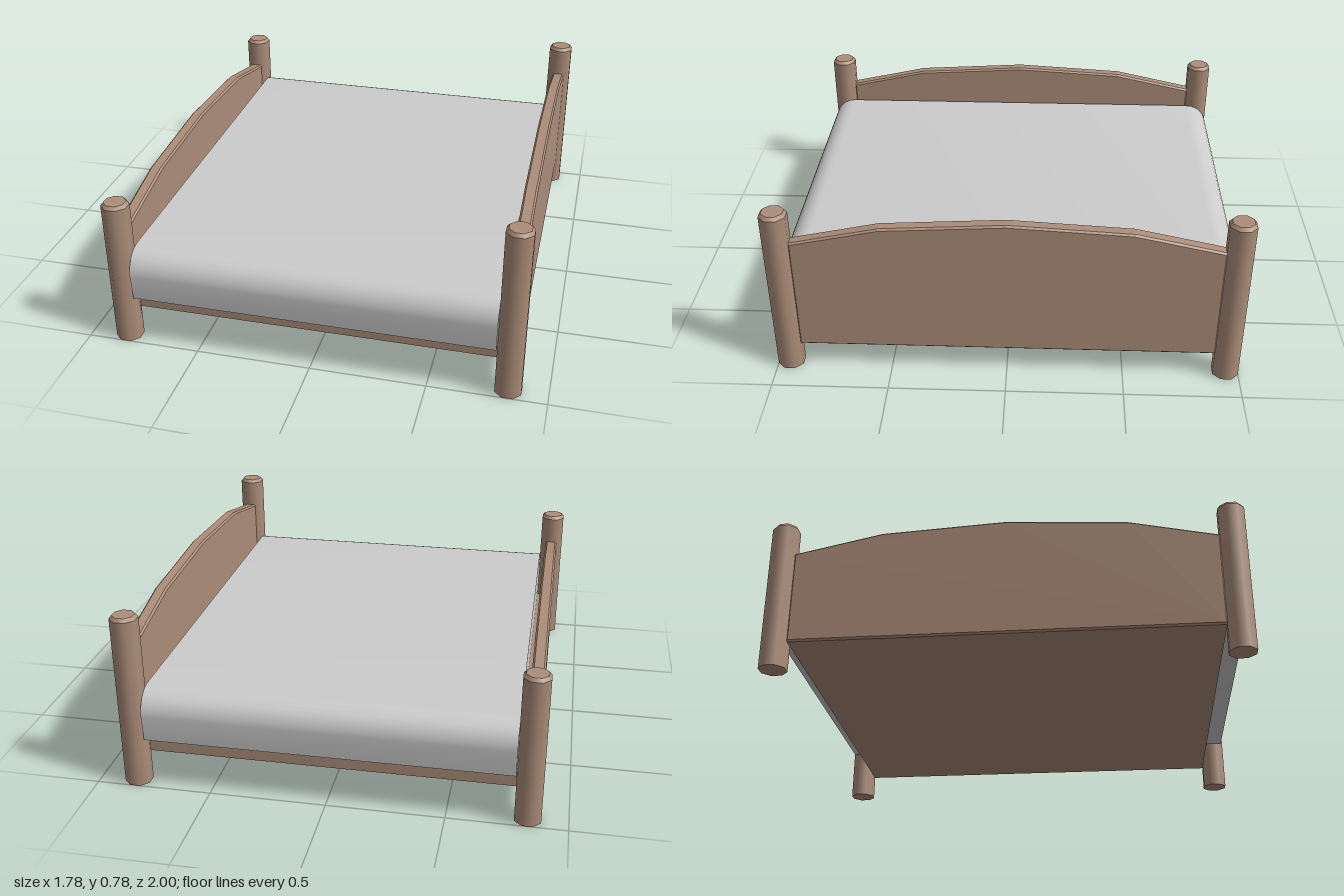
import * as THREE from 'three';
import { toCreasedNormals } from 'three/addons/utils/BufferGeometryUtils.js';

// Extrude a (z, y) outline along x, centred on x = 0
function extrudeAlongX(shape, width, bevel = 0) {
  const geometry = new THREE.ExtrudeGeometry(shape, {
    depth: width - 2 * bevel,
    curveSegments: 4,
    bevelEnabled: bevel > 0,
    bevelSegments: 1,
    bevelSize: bevel,
    bevelThickness: bevel,
    bevelOffset: -bevel,
  });
  geometry.translate(0, 0, -(width - 2 * bevel) / 2);
  geometry.rotateY(Math.PI / 2);
  return geometry;
}

// Eight-sided post, 0.11 across the flats, with a bevelled top
function postGeometry(height) {
  const r = 0.055 / Math.cos(Math.PI / 8);
  // repeated points keep the edges sharp
  const profile = [
    [0, 0], [r, 0], [r, 0], [r, height - 0.015], [r, height - 0.015],
    [r - 0.012, height], [r - 0.012, height], [0, height],
  ].map(([x, y]) => new THREE.Vector2(x, y));
  const geometry = new THREE.LatheGeometry(profile, 8);
  geometry.rotateY(Math.PI / 8);
  return geometry;
}

// Arched end board whose peak is at the given height
function boardGeometry(peak) {
  const shape = new THREE.Shape([
    [-0.895, 0.115], [0.895, 0.115], [0.895, peak - 0.111], [0.52, peak - 0.03],
    [0, peak], [-0.52, peak - 0.03], [-0.895, peak - 0.111],
  ].map(([z, y]) => new THREE.Vector2(z, y)));
  return extrudeAlongX(shape, 0.056, 0.008);
}

// Mattress with rounded upper edges at both open sides
function mattressGeometry() {
  const bottom = 0.225, top = 0.45, half = 1, r = 0.11;
  const shape = new THREE.Shape();
  shape.moveTo(-half + 0.01, bottom);
  shape.lineTo(half - 0.01, bottom);
  shape.lineTo(half, top - r);
  shape.absarc(half - r, top - r, r, 0, Math.PI / 2, false);
  shape.lineTo(-half + r, top);
  shape.absarc(-half + r, top - r, r, Math.PI / 2, Math.PI, false);
  shape.closePath();
  return toCreasedNormals(extrudeAlongX(shape, 1.556), Math.PI / 4);
}

export function createModel() {
  const wood = new THREE.MeshStandardMaterial({ color: 0xac8d79 });
  wood.name = 'wood';
  const fabric = new THREE.MeshStandardMaterial({ color: 0xcccccc });
  fabric.name = 'light grey fabric';

  const bed = new THREE.Group();
  bed.name = 'bed';
  const add = (parent, name, geometry, material, x = 0, y = 0, z = 0) => {
    const mesh = new THREE.Mesh(geometry, material);
    mesh.name = name;
    mesh.position.set(x, y, z);
    parent.add(mesh);
  };

  // Base and mattress
  add(bed, 'base', new THREE.BoxGeometry(1.64, 0.11, 1.78), wood, 0, 0.17, 0);
  add(bed, 'mattress', mattressGeometry(), fabric);

  // Tall head end on +x, lower foot end on -x
  const ends = [
    { name: 'head', side: 1, post: 0.78, peak: 0.75 },
    { name: 'foot', side: -1, post: 0.67, peak: 0.64 },
  ];
  for (const { name, side, post, peak } of ends) {
    const end = new THREE.Group();
    end.name = `${name}End`;
    add(end, `${name}Board`, boardGeometry(peak), wood, side * 0.834);
    const geometry = postGeometry(post);
    add(end, `${name}FrontPost`, geometry, wood, side * 0.834, 0, 0.945);
    add(end, `${name}BackPost`, geometry, wood, side * 0.834, 0, -0.945);
    bed.add(end);
  }
  return bed;
}
